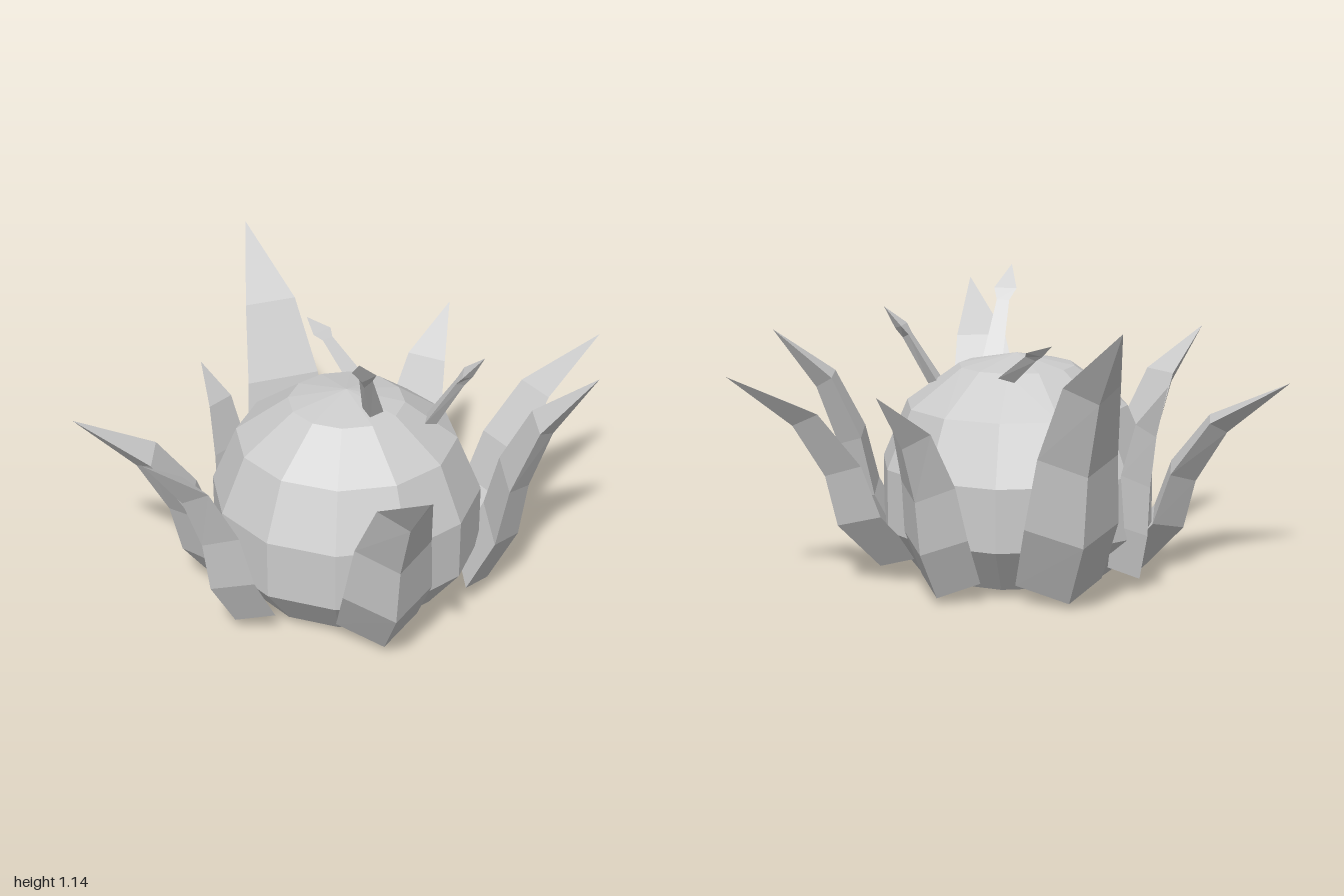
import * as THREE from 'three';

const material = new THREE.MeshStandardMaterial({ color: 0xcccccc, flatShading: true, side: THREE.DoubleSide });

// Stations from base to tip: [outward fraction, height fraction, half width, inset of the flat inner side]
const LEAF = [
  [0, 0, 0.15, 0.11],
  [0.29, 0.23, 0.16, 0.12],
  [0.37, 0.48, 0.135, 0.1],
  [0.58, 0.74, 0.095, 0.07],
  [1, 1, 0, 0],
];
const SPROUT = [
  [0, 0, 0.04, 0.045],
  [0.58, 0.6, 0.025, 0.03],
  [0.75, 0.72, 0.045, 0.035],
  [1, 1, 0, 0],
];

// Closed blade with a triangular section: an outer ridge and a flat inner side
function blade(name, base, tip, stations, widthScale = 1, lift = 0.05) {
  const b = new THREE.Vector3(...base);
  const span = new THREE.Vector3(...tip).sub(b);
  const out = new THREE.Vector3(span.x, 0, span.z).normalize();
  const side = new THREE.Vector3(0, 1, 0).cross(out);

  const rings = stations.map(([u, v, w, inset]) => {
    const ridge = new THREE.Vector3(b.x + span.x * u, b.y + span.y * v, b.z + span.z * u);
    const inner = ridge.clone().addScaledVector(out, -inset * widthScale);
    if (w > 0) inner.y += lift;
    return [ridge, ...[1, -1].map((s) => inner.clone().addScaledVector(side, s * w * widthScale))];
  });

  const positions = [];
  const tri = (...points) => points.forEach((p) => positions.push(p.x, p.y, p.z));
  tri(rings[0][0], rings[0][2], rings[0][1]);
  for (let i = 0; i < rings.length - 1; i++) {
    const lo = rings[i], hi = rings[i + 1];
    for (let j = 0; j < 3; j++) {
      const k = (j + 1) % 3;
      tri(lo[j], lo[k], hi[k]);
      if (i < rings.length - 2) tri(lo[j], hi[k], hi[j]);
    }
  }
  const geometry = new THREE.BufferGeometry();
  geometry.setAttribute('position', new THREE.Float32BufferAttribute(positions, 3));
  geometry.computeVertexNormals();
  const mesh = new THREE.Mesh(geometry, material);
  mesh.name = name;
  return mesh;
}

export function createModel() {
  const model = new THREE.Group();
  model.name = 'spikyPlant';

  // Faceted dome, open underneath
  const profile = [[0.385, 0.035], [0.515, 0.205], [0.515, 0.44], [0.42, 0.66], [0.22, 0.805], [0, 0.85]];
  const body = new THREE.Mesh(
    new THREE.LatheGeometry(profile.map(([r, y]) => new THREE.Vector2(r, y)), 12), material);
  body.position.set(0.03, 0, -0.03);
  body.name = 'body';
  model.add(body);

  // Ring of leaves around the dome: ridge base, tip, width scale
  const leaves = new THREE.Group();
  leaves.name = 'leaves';
  [
    [[0.21, 0.03, 0.46], [0.38, 1.0, 0.99], 1.05],
    [[0.585, 0.06, 0.01], [0.965, 0.92, -0.05], 0.95],
    [[0.52, 0.055, -0.23], [0.99, 0.83, -0.59], 0.9],
    [[0.25, 0.025, -0.52], [0.39, 0.82, -0.85], 0.85],
    [[-0.23, 0.02, -0.51], [-0.46, 1.08, -1.0], 1.1],
    [[-0.46, 0.05, -0.25], [-0.56, 0.785, -0.32], 0.65],
    [[-0.44, 0.0, 0.06], [-0.99, 0.735, 0.09], 0.95],
    [[-0.36, 0.05, 0.36], [-0.63, 0.87, 0.615], 0.85],
  ].forEach(([base, tip, width]) => leaves.add(blade('leaf', base, tip, LEAF, width)));
  model.add(leaves);

  // Small barbed sprouts on the crown
  const sprouts = new THREE.Group();
  sprouts.name = 'sprouts';
  [
    [[0.13, 0.79, 0.1], [0.1, 1.14, 0.32]],
    [[0.37, 0.72, -0.02], [0.54, 1.01, -0.01]],
    [[0.0, 0.78, -0.29], [-0.155, 0.94, -0.43]],
  ].forEach(([base, tip]) => sprouts.add(blade('sprout', base, tip, SPROUT, 1, 0.015)));
  model.add(sprouts);

  return model;
}
